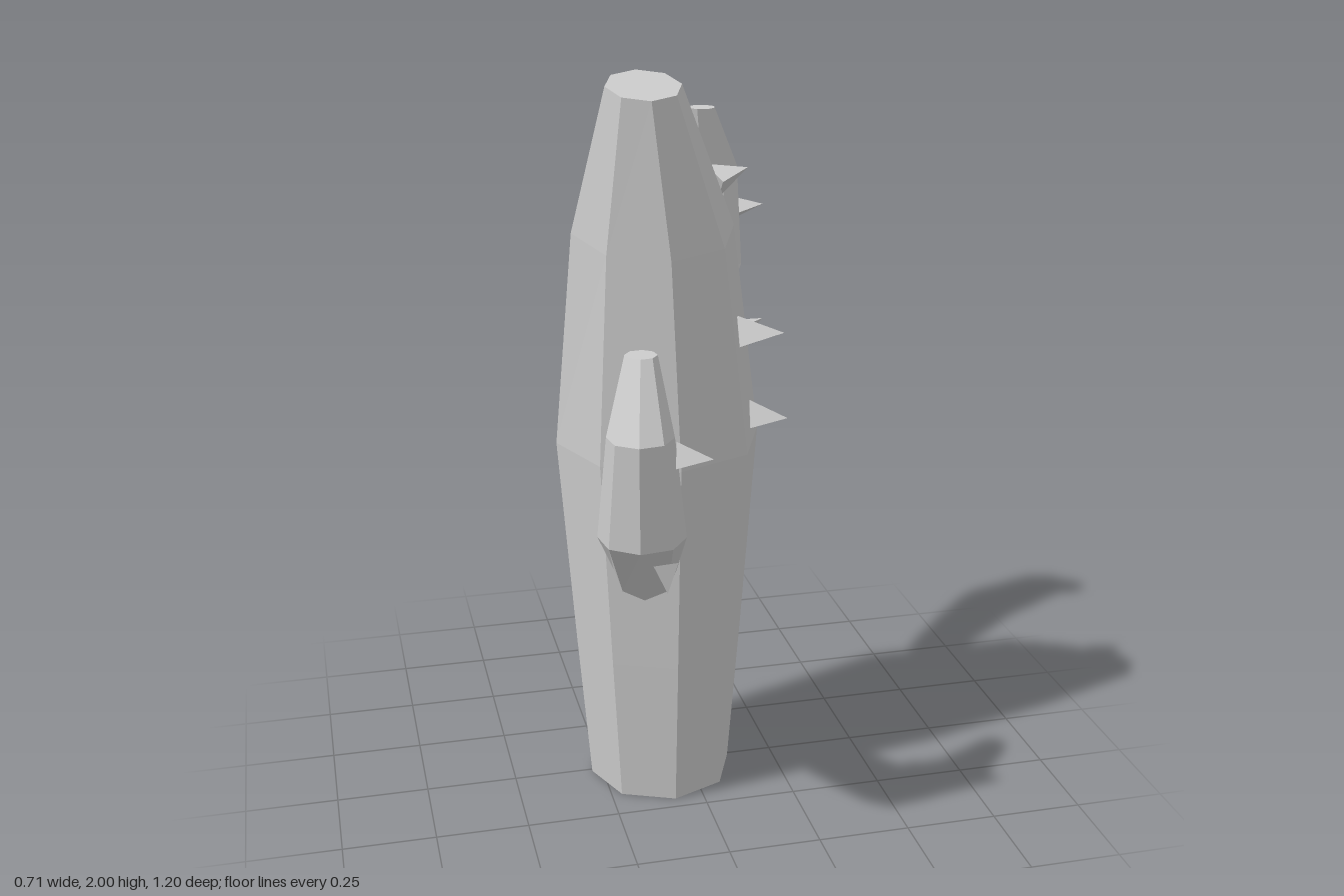
import * as THREE from 'three';

const material = new THREE.MeshStandardMaterial({ color: 0xcccccc, flatShading: true });
const SIDES = 8;

// Faceted limb through rings { c: centre, r: radius, t: tilt in degrees towards the heading }
function loft(rings, heading) {
  const up = new THREE.Vector3(0, 1, 0);
  const side = up.clone().cross(heading);
  const loops = rings.map(({ c, r, t }) => {
    const tilt = THREE.MathUtils.degToRad(t);
    const u = heading.clone().multiplyScalar(Math.cos(tilt)).addScaledVector(up, -Math.sin(tilt));
    return Array.from({ length: SIDES }, (_, j) => {
      const a = (j / SIDES) * Math.PI * 2;
      return c.clone().addScaledVector(u, r * Math.cos(a)).addScaledVector(side, r * Math.sin(a));
    });
  });
  const pos = [];
  const tri = (...pts) => pts.forEach((p) => pos.push(p.x, p.y, p.z));
  const last = rings.length - 1;
  for (let j = 0; j < SIDES; j++) {
    const k = (j + 1) % SIDES;
    for (let i = 0; i < last; i++) {
      const a = loops[i], b = loops[i + 1];
      tri(a[j], a[k], b[k]);
      tri(a[j], b[k], b[j]);
    }
    tri(rings[0].c, loops[0][k], loops[0][j]);
    tri(rings[last].c, loops[last][j], loops[last][k]);
  }
  const geo = new THREE.BufferGeometry();
  geo.setAttribute('position', new THREE.Float32BufferAttribute(pos, 3));
  geo.computeVertexNormals();
  return geo;
}

function addMesh(group, name, geometry) {
  const mesh = new THREE.Mesh(geometry, material);
  mesh.name = name;
  group.add(mesh);
  return mesh;
}

// Upturned arm: distance out along the heading, height, radius, tilt
const ARM = [
  [0, 0, 0.075, 72],
  [0.115, 0.05, 0.082, 54],
  [0.318, 0.228, 0.11, 0],
  [0.365, 0.505, 0.082, 0],
  [0.275, 0.682, 0.04, 0],
];
function armGeometry(base, hx, hz) {
  const heading = new THREE.Vector3(hx, 0, hz).normalize();
  const start = new THREE.Vector3(...base);
  return loft(ARM.map(([d, y, r, t]) => {
    const c = start.clone().addScaledVector(heading, d);
    c.y += y;
    return { c, r, t };
  }), heading);
}

// Three-sided thorn from a base centre to a tip
function addThorn(group, [base, tip, radius]) {
  const from = new THREE.Vector3(...base);
  const dir = new THREE.Vector3(...tip).sub(from);
  const length = dir.length();
  const geo = new THREE.ConeGeometry(radius, length, 3);
  geo.translate(0, length / 2, 0);
  const mesh = addMesh(group, 'thorn', geo);
  mesh.position.copy(from);
  mesh.quaternion.setFromUnitVectors(new THREE.Vector3(0, 1, 0), dir.normalize());
}

export function createModel() {
  const cactus = new THREE.Group();
  cactus.name = 'cactus';

  // Trunk, leaning slightly forwards at the top: x, y, z, radius, tilt
  const trunk = [
    [-0.08, 0, 0.01, 0.2, 0],
    [-0.08, 0.42, 0.008, 0.234, 0],
    [-0.08, 1.01, 0.005, 0.278, 1],
    [-0.105, 1.595, 0.075, 0.213, 10],
    [-0.15, 1.975, 0.182, 0.096, 15],
  ].map(([x, y, z, r, t]) => ({ c: new THREE.Vector3(x, y, z), r, t }));
  addMesh(cactus, 'trunk', loft(trunk, new THREE.Vector3(0, 0, 1)));

  // Arms
  addMesh(cactus, 'frontArm', armGeometry([-0.15, 0.695, 0.175], -0.24, 0.97));
  addMesh(cactus, 'backArm', armGeometry([0.01, 1.133, -0.2], 0.5, -0.87));

  // Thorns: four on the trunk, one on the back arm, two on the front arm
  const thorns = [
    [[0.07, 1.7, 0.03], [0.16, 1.73, 0.015], 0.055],
    [[0.13, 1.26, -0.05], [0.245, 1.28, -0.125], 0.065],
    [[0.1, 1.32, 0.165], [0.215, 1.33, 0.19], 0.055],
    [[0.15, 1.07, 0.1], [0.25, 1.07, 0.12], 0.05],
    [[0.26, 1.5, -0.515], [0.35, 1.515, -0.505], 0.042],
    [[-0.155, 1.145, 0.55], [-0.068, 1.145, 0.572], 0.042],
    [[-0.18, 0.85, 0.505], [-0.175, 0.79, 0.54], 0.04],
  ];
  thorns.forEach((thorn) => addThorn(cactus, thorn));

  return cactus;
}
